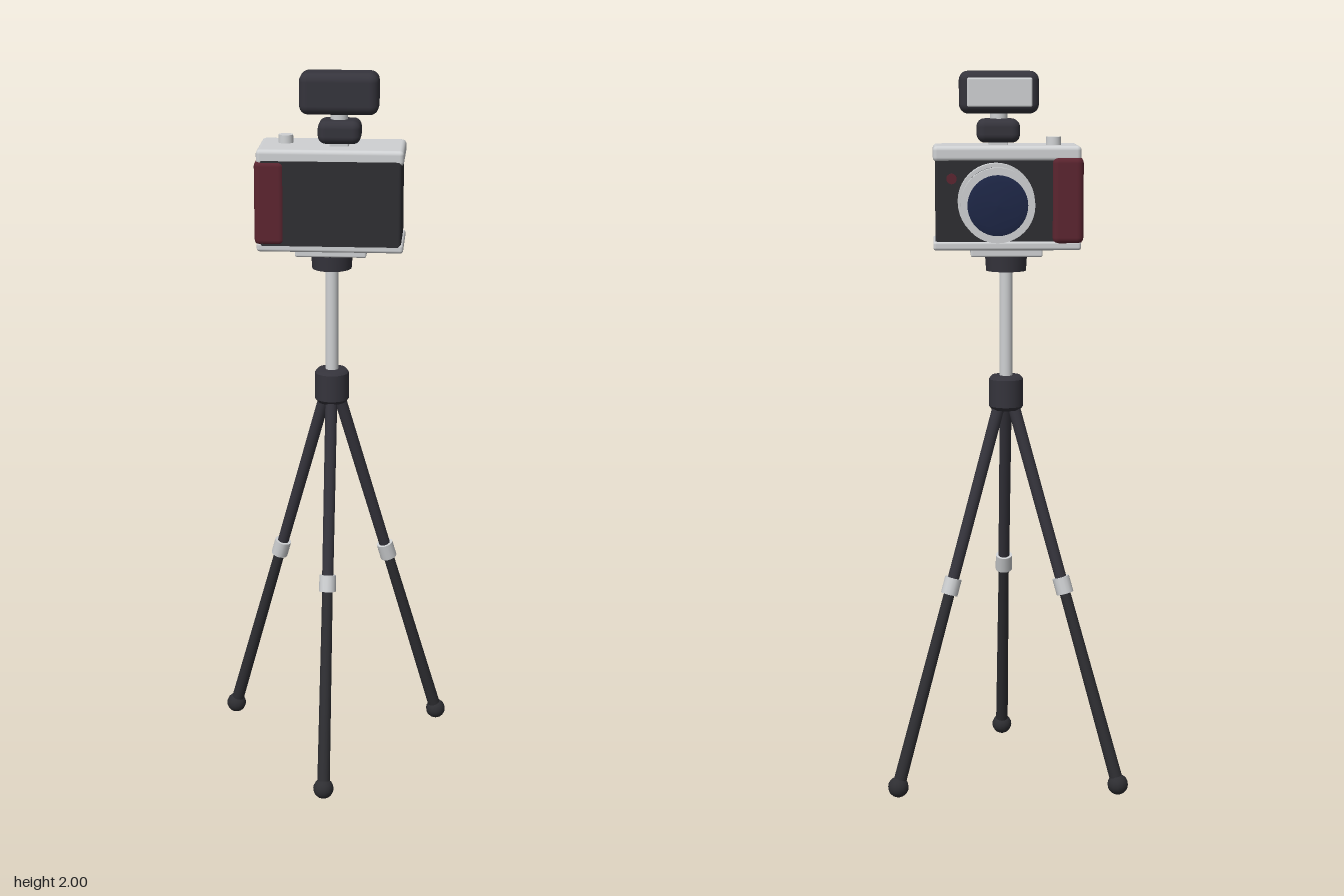
import * as THREE from 'three';
import { RoundedBoxGeometry } from 'three/addons/geometries/RoundedBoxGeometry.js';

const mat = (name, color) => Object.assign(new THREE.MeshStandardMaterial({ color }), { name });

export function createModel() {
  const black = mat('black plastic', 0x35343c);
  const leather = mat('dark leather', 0x2e2e32);
  const silver = mat('silver', 0xcfd1d3);
  const red = mat('oxblood grip', 0x5c2530);
  const glass = mat('navy glass', 0x1e2747);

  const model = new THREE.Group();
  model.name = 'cameraOnTripod';
  const Z = -0.053; // depth of the tripod axis

  function add(name, geometry, material, x, y, z, parent = model) {
    const mesh = new THREE.Mesh(geometry, material);
    mesh.name = name;
    mesh.position.set(x, y, z);
    parent.add(mesh);
    return mesh;
  }
  // Rounded box given by its lower and upper corners
  function box(name, material, [x0, y0, z0], [x1, y1, z1], r, parent) {
    return add(name, new RoundedBoxGeometry(x1 - x0, y1 - y0, z1 - z0, 3, r), material,
      (x0 + x1) / 2, (y0 + y1) / 2, (z0 + z1) / 2, parent);
  }
  // Upright cylinder between two heights
  function post(name, material, rTop, rBottom, y0, y1, x = 0, z = Z, parent = model) {
    return add(name, new THREE.CylinderGeometry(rTop, rBottom, y1 - y0, 24), material, x, (y0 + y1) / 2, z, parent);
  }
  // Rod between two points
  function rod(name, material, a, b, ra, rb, parent) {
    const mesh = add(name, new THREE.CylinderGeometry(rb, ra, a.distanceTo(b), 14), material, 0, 0, 0, parent);
    mesh.position.copy(a).lerp(b, 0.5);
    mesh.quaternion.setFromUnitVectors(new THREE.Vector3(0, 1, 0), b.clone().sub(a).normalize());
    return mesh;
  }

  // Camera body
  const body = new THREE.Group();
  body.name = 'cameraBody';
  model.add(body);
  box('bodyShell', leather, [-0.193, 1.53, -0.153], [0.194, 1.78, 0.044], 0.008, body);
  box('topPlate', silver, [-0.2, 1.76, -0.157], [0.2, 1.802, 0.044], 0.012, body);
  box('bottomPlate', silver, [-0.2, 1.522, -0.157], [0.2, 1.547, 0.044], 0.008, body);
  box('handGrip', red, [-0.206, 1.538, -0.164], [-0.121, 1.774, 0.048], 0.018, body);
  post('shutterButton', silver, 0.02, 0.021, 1.8, 1.824, -0.128, -0.078, body);
  const lamp = add('timerLamp', new THREE.CylinderGeometry(0.014, 0.014, 0.02, 16), red, 0.15, 1.715, -0.154, body);
  lamp.rotation.x = -Math.PI / 2;

  // Lens, turned so that its axis points backwards (-z)
  const lens = new THREE.Group();
  lens.name = 'lens';
  lens.position.set(0.031, 1.655, -0.15);
  lens.rotation.x = -Math.PI / 2;
  model.add(lens);
  const ring = (name, material, r, y0, y1) =>
    add(name, new THREE.CylinderGeometry(r, r, y1 - y0, 40), material, 0, (y0 + y1) / 2, 0, lens);
  ring('lensMount', silver, 0.103, 0, 0.05);
  ring('lensBarrel', leather, 0.093, 0.045, 0.15);
  ring('lensRim', silver, 0.098, 0.146, 0.175);
  const dome = [[0.08, 0.174], [0.078, 0.177], [0.06, 0.179], [0.033, 0.182], [0, 0.183]];
  add('frontGlass', new THREE.LatheGeometry(dome.map(([x, y]) => new THREE.Vector2(x, y)), 40), glass, 0, 0, 0, lens);

  // Flash unit on the shoe
  const flash = new THREE.Group();
  flash.name = 'flashUnit';
  model.add(flash);
  box('shoePlate', silver, [-0.005, 1.798, -0.085], [0.047, 1.815, -0.02], 0.004, flash);
  box('flashFoot', black, [-0.037, 1.808, -0.102], [0.08, 1.872, -0.005], 0.022, flash);
  post('flashNeck', silver, 0.024, 0.024, 1.865, 1.895, 0.02, -0.055, flash);
  box('flashHead', black, [-0.088, 1.886, -0.108], [0.128, 2, -0.008], 0.025, flash);
  box('flashWindow', silver, [-0.069, 1.904, -0.119], [0.107, 1.982, -0.1], 0.005, flash);

  // Tripod head and centre column
  box('quickPlate', silver, [-0.098, 1.5, Z - 0.06], [0.098, 1.525, Z + 0.06], 0.005);
  post('headDisc', black, 0.058, 0.055, 1.458, 1.502);
  post('centreColumn', silver, 0.018, 0.018, 1.15, 1.46);
  const hub = [[0, 1.07], [0.04, 1.07], [0.048, 1.08], [0.048, 1.08], [0.048, 1.156],
    [0.048, 1.156], [0.04, 1.166], [0, 1.166]];
  add('hub', new THREE.LatheGeometry(hub.map(([x, y]) => new THREE.Vector2(x, y)), 24), black, 0, 0, Z);

  // Three legs, 120 degrees apart
  for (let i = 0; i < 3; i++) {
    const leg = new THREE.Group();
    leg.name = 'leg' + (i + 1);
    leg.position.z = Z;
    leg.rotation.y = i * Math.PI * 2 / 3;
    model.add(leg);
    const top = new THREE.Vector3(0, 1.095, 0.019), foot = new THREE.Vector3(0, 0.03, 0.355);
    const at = t => top.clone().lerp(foot, t);
    rod('upperLeg', black, top, at(0.48), 0.017, 0.016, leg);
    rod('lowerLeg', leather, at(0.48), foot, 0.015, 0.018, leg);
    rod('legCollar', silver, at(0.458), at(0.5), 0.024, 0.024, leg);
    add('rubberFoot', new THREE.SphereGeometry(0.029, 14, 10), leather, foot.x, foot.y, foot.z, leg);
  }
  return model;
}
